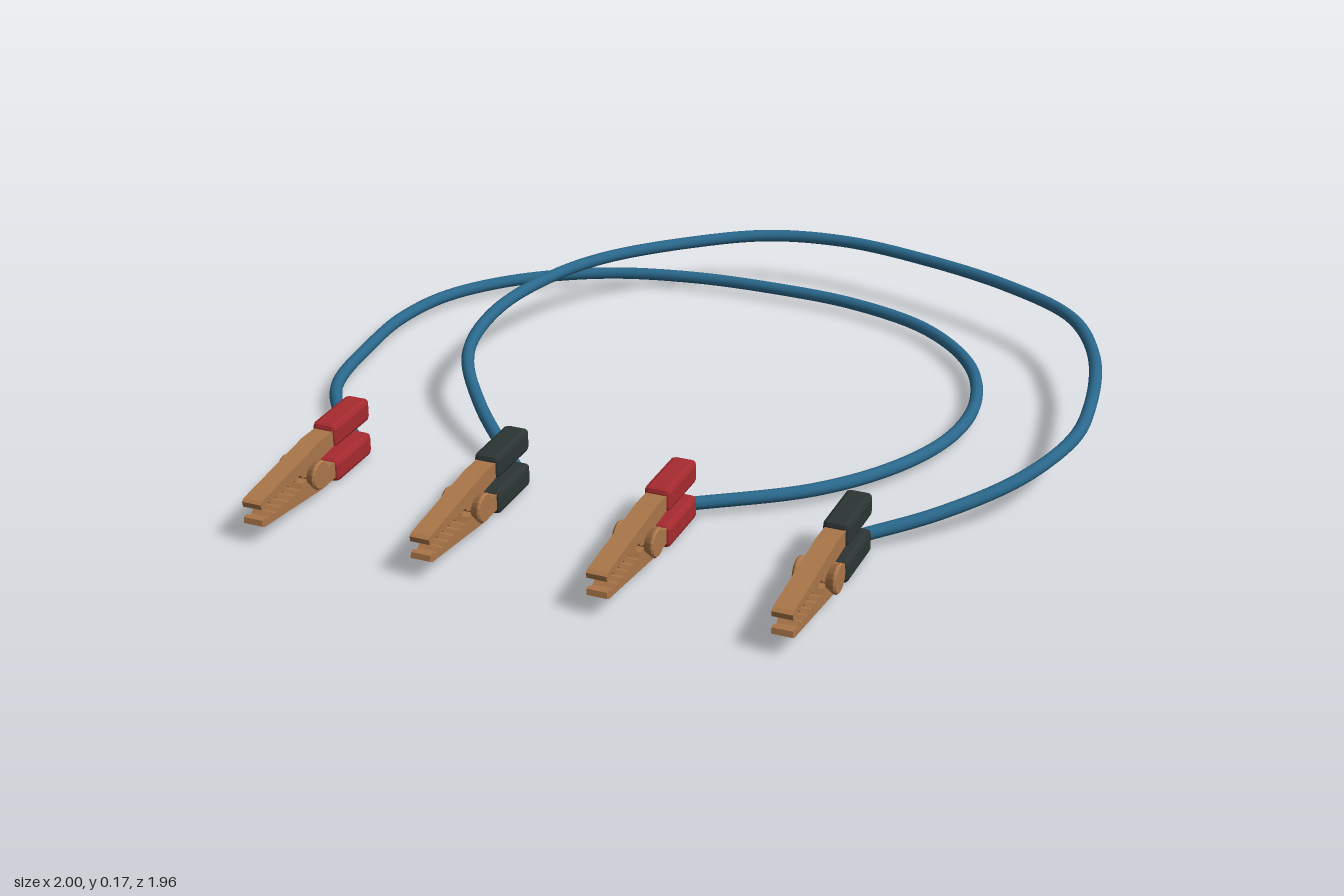
import * as THREE from 'three';
import { RoundedBoxGeometry } from 'three/addons/geometries/RoundedBoxGeometry.js';

const material = (name, color, flatShading = false) => {
  const m = new THREE.MeshStandardMaterial({ color, flatShading });
  m.name = name;
  return m;
};

const MID = 0.0775; // height of the clip's symmetry plane

// Side profile of one jaw, as (z, height above the symmetry plane), with teeth toward the tip
function jawGeometry() {
  const s = new THREE.Shape();
  s.moveTo(0.6, 0.062);
  s.lineTo(0.7, 0.064);
  s.lineTo(0.76, 0.057);
  s.lineTo(0.97, 0.034);
  s.lineTo(0.98, 0.028);
  s.lineTo(0.977, 0.014);
  const teeth = 6, from = 0.965, to = 0.79, step = (from - to) / teeth;
  for (let i = 0; i < teeth; i++) {
    const z = from - i * step;
    s.lineTo(z, 0.012);
    s.lineTo(z - step * 0.3, 0.02);
    s.lineTo(z - step * 0.7, 0.02);
  }
  s.lineTo(to, 0.008);
  s.lineTo(0.77, 0.003);
  s.lineTo(0.73, 0.003);
  s.lineTo(0.7, 0.018);
  s.lineTo(0.6, 0.026);
  const g = new THREE.ExtrudeGeometry(s, { depth: 0.05, bevelEnabled: false });
  g.translate(0, 0, -0.025);
  g.rotateY(-Math.PI / 2); // profile x becomes z
  return g;
}

// Spool-shaped hinge pin with flared ends, lying along x
function pivotGeometry() {
  const profile = [[0, -0.052], [0.033, -0.052], [0.037, -0.047], [0.036, -0.043], [0.026, -0.026],
    [0.026, 0.026], [0.036, 0.043], [0.037, 0.047], [0.033, 0.052], [0, 0.052]];
  const g = new THREE.LatheGeometry(profile.map(([r, y]) => new THREE.Vector2(r, y)), 16);
  g.rotateZ(Math.PI / 2);
  return g;
}

export function createModel() {
  const group = new THREE.Group();
  const copper = material('copper', 0xa97548, true);
  const red = material('red grip', 0xa52a2e, true);
  const black = material('black grip', 0x2c3434, true);
  const blue = material('blue cable', 0x2a688c);

  const jaw = jawGeometry();
  const pivot = pivotGeometry();
  const grip = new RoundedBoxGeometry(0.065, 0.06, 0.176, 1, 0.012);

  const add = (parent, name, geometry, mat) => {
    const mesh = new THREE.Mesh(geometry, mat);
    mesh.name = name;
    parent.add(mesh);
    return mesh;
  };

  // Four clips, alternating red and black
  [[-0.725, red], [-0.285, black], [0.155, red], [0.594, black]].forEach(([x, gripColor]) => {
    const clip = new THREE.Group();
    clip.name = gripColor === red ? 'redClip' : 'blackClip';
    clip.position.set(x, MID, 0);
    add(clip, 'upperJaw', jaw, copper);
    add(clip, 'lowerJaw', jaw, copper).rotation.z = Math.PI;
    add(clip, 'pivot', pivot, copper).position.z = 0.747;
    add(clip, 'upperGrip', grip, gripColor).position.set(0, 0.0475, 0.553);
    add(clip, 'lowerGrip', grip, gripColor).position.set(0, -0.0475, 0.553);
    group.add(clip);
  });

  // Cables through (x, y, z) points
  const cable = (name, points) => {
    const curve = new THREE.CatmullRomCurve3(points.map(p => new THREE.Vector3(...p)));
    add(group, name, new THREE.TubeGeometry(curve, 140, 0.0165, 12), blue);
  };

  // Lower cable lies flat
  cable('redClipCable', [
    [-0.725, 0.48], [-0.855, 0.345], [-0.94, 0.2], [-0.978, -0.05], [-0.983, -0.24], [-0.935, -0.425],
    [-0.8, -0.6], [-0.585, -0.74], [-0.345, -0.803], [-0.105, -0.817], [0.135, -0.8], [0.375, -0.715],
    [0.555, -0.54], [0.64, -0.32], [0.64, -0.105], [0.565, 0.1], [0.42, 0.29], [0.155, 0.48],
  ].map(([x, z]) => [x, 0.034, z]));

  // Upper cable rises from its clips and crosses over the other
  cable('blackClipCable', [
    [-0.278, 0.034, 0.48], [-0.48, 0.095, 0.285], [-0.6, 0.138, 0.11], [-0.642, 0.153, -0.13],
    [-0.61, 0.15, -0.4], [-0.525, 0.148, -0.595], [-0.345, 0.146, -0.795], [-0.16, 0.146, -0.925],
    [0.055, 0.146, -0.965], [0.3, 0.146, -0.925], [0.565, 0.146, -0.835], [0.78, 0.146, -0.7],
    [0.9, 0.146, -0.49], [0.97, 0.146, -0.185], [0.973, 0.136, 0], [0.895, 0.102, 0.18],
    [0.75, 0.062, 0.34], [0.585, 0.034, 0.48],
  ]);

  return group;
}
